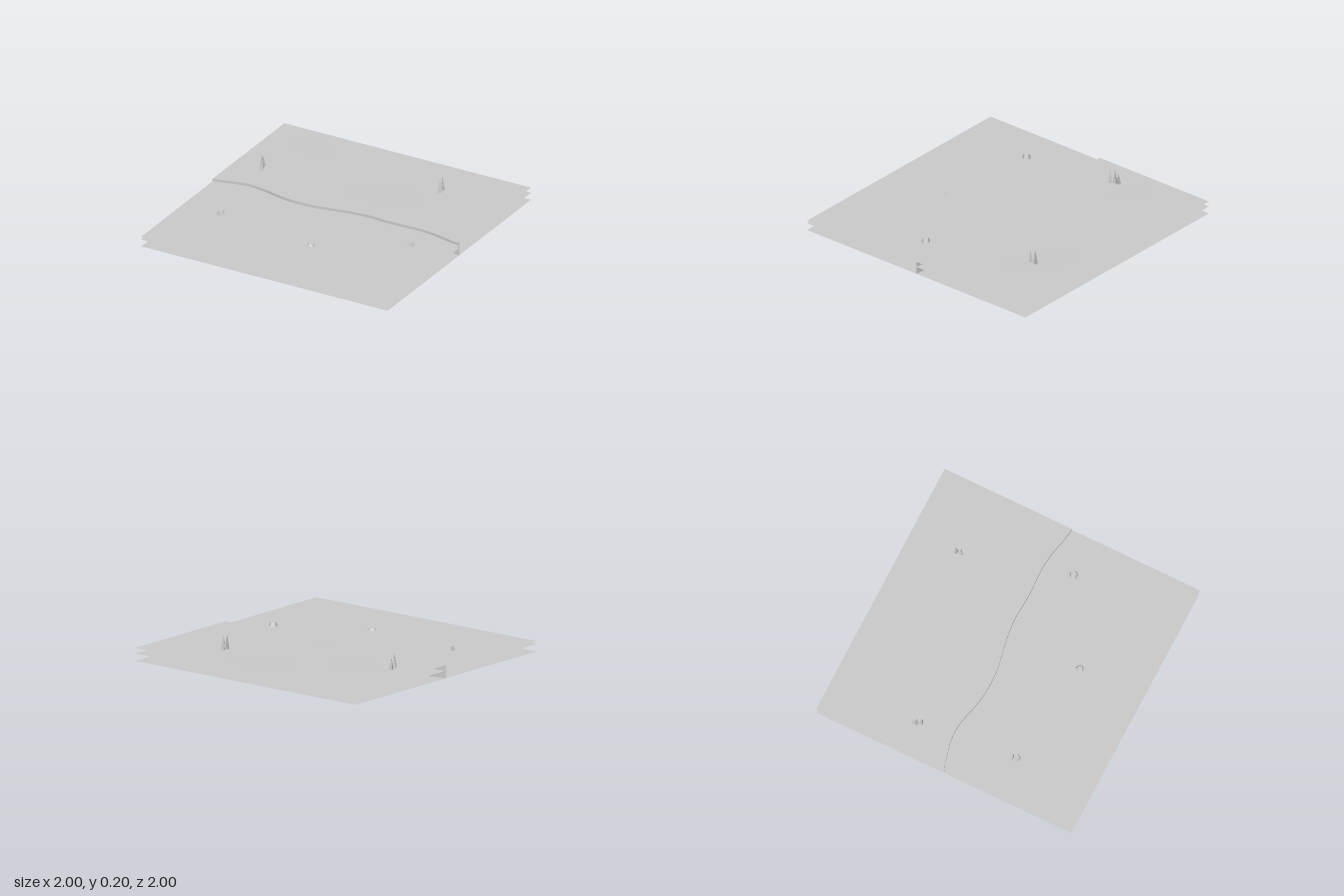
import * as THREE from 'three';

export function createModel() {
  const model = new THREE.Group();
  const stone = new THREE.MeshStandardMaterial({ color: 0xcccccc, side: THREE.DoubleSide });
  stone.name = 'paleGrey';

  const add = (name, geometry, x = 0, y = 0, z = 0) => {
    const mesh = new THREE.Mesh(geometry, stone);
    mesh.name = name;
    mesh.position.set(x, y, z);
    model.add(mesh);
    return mesh;
  };

  // Winding bank line: z at even steps of x from -1 to 1
  const bank = [0, -0.025, -0.049, -0.055, -0.041, -0.016, 0.002, 0.008, 0.005, -0.01, -0.03,
    -0.047, -0.057, -0.055, -0.049, -0.051, -0.055, -0.053, -0.038, -0.015, 0];
  const curve = new THREE.SplineCurve(bank.map((z, i) => new THREE.Vector2(-1 + i * 0.1, z)));
  const COLS = 60;

  // Grid sheet: u runs along x, v runs across; place(p, v) gives [x, y, z] from a bank point
  const sheet = (rows, place) => {
    const geo = new THREE.PlaneGeometry(1, 1, COLS, rows);
    const pos = geo.attributes.position;
    for (let j = 0; j <= rows; j++) {
      for (let i = 0; i <= COLS; i++) {
        pos.setXYZ(j * (COLS + 1) + i, ...place(curve.getPoint(i / COLS), j / rows));
      }
    }
    geo.computeVertexNormals();
    return geo;
  };

  // Flat layers below the surface
  for (const [name, y] of [['baseSheet', 0], ['middleSheet', 0.055]]) {
    add(name, new THREE.PlaneGeometry(2, 2).rotateX(-Math.PI / 2), 0, y, 0);
  }

  // Lower ground in front of the bank
  add('lowerGround', sheet(4, (p, v) => [p.x, 0.075, THREE.MathUtils.lerp(p.y, 1, v)]));

  // Raised ground behind the bank, gently uneven away from its edges
  add('upperGround', sheet(16, (p, v) => {
    const z = THREE.MathUtils.lerp(-1, p.y, v);
    const fade = Math.sin(Math.PI * v) * (1 - p.x ** 4);
    return [p.x, 0.095 + 0.003 * fade * Math.sin(4 * p.x + 1) * Math.cos(5 * z), z];
  }));

  // Vertical bank face
  add('bankWall', sheet(1, (p, v) => [p.x, 0.095 * (1 - v), p.y]));

  // Five-sided stones on the lower ground: x, z, radius, height, turn
  for (const [x, z, r, h, turn] of [
    [-0.695, 0.415, 0.033, 0.031, 0.3],
    [0.098, 0.515, 0.031, 0.016, 0.9],
    [0.703, 0.163, 0.035, 0.028, 0.5],
  ]) {
    const geo = new THREE.CylinderGeometry(r * 0.66, r, h, 5).toNonIndexed();
    geo.computeVertexNormals();
    add('stone', geo, x, 0.075 + h / 2, z).rotation.y = turn;
  }

  // Pointed three-sided tufts on the raised ground: x, z, radius, top, turn
  for (const [x, z, r, top, turn] of [
    [-0.79, -0.348, 0.021, 0.18, 0],
    [-0.787, -0.32, 0.021, 0.2, 2.6],
    [-0.77, -0.289, 0.019, 0.2, 1.4],
    [0.482, -0.655, 0.022, 0.2, 0.1],
    [0.482, -0.647, 0.021, 0.18, 1.0],
    [0.485, -0.612, 0.019, 0.2, 1.6],
  ]) {
    const h = top - 0.085;
    const geo = new THREE.ConeGeometry(r, h, 3).toNonIndexed();
    geo.computeVertexNormals();
    add('tuft', geo, x, 0.085 + h / 2, z).rotation.y = turn;
  }

  return model;
}
